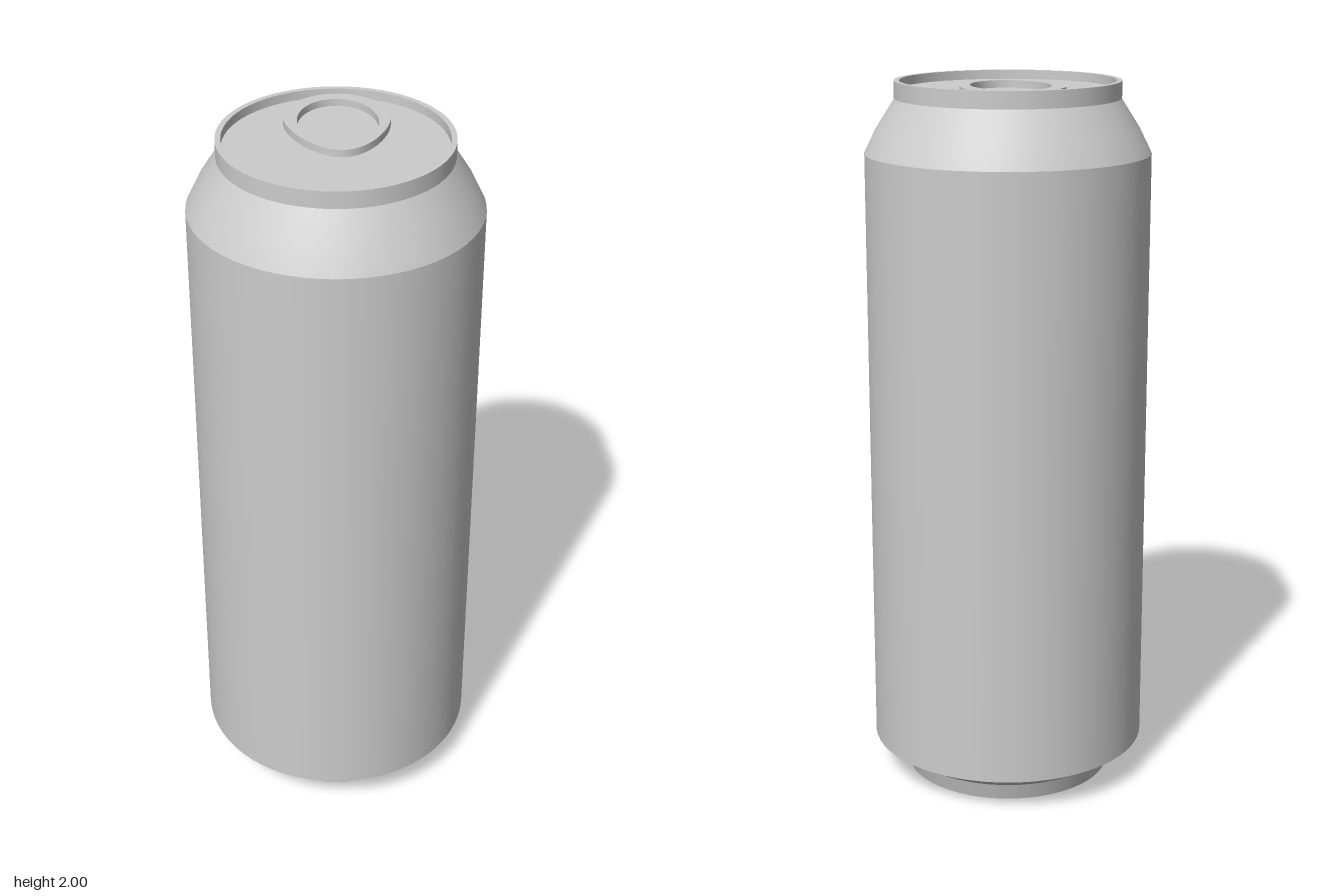
import * as THREE from 'three';
import { toCreasedNormals } from 'three/addons/utils/BufferGeometryUtils.js';

const SEGMENTS = 64;
const LID_Y = 1.975;

export function createModel() {
  const can = new THREE.Group();
  can.name = 'can';

  const aluminium = new THREE.MeshStandardMaterial({ color: 0xcccccc });
  aluminium.name = 'aluminium';

  // One turned band: smooth inside, with a sharp edge to its neighbours
  function band(name, profile) {
    const points = profile.map(([r, y]) => new THREE.Vector2(r, y));
    const mesh = new THREE.Mesh(new THREE.LatheGeometry(points, SEGMENTS), aluminium);
    mesh.name = name;
    can.add(mesh);
  }

  // Underside: recessed dome and slanted foot ring
  band('baseDisc', [[0, 0.1], [0.134, 0.1]]);
  band('baseDome', [[0.134, 0.1], [0.264, 0.045]]);
  band('footInside', [[0.264, 0.045], [0.295, 0]]);
  band('footOutside', [[0.295, 0], [0.31, 0.05]]);
  band('lowerTaper', [[0.31, 0.05], [0.393, 0.1]]);

  // Straight wall, shoulder and neck
  band('body', [[0.393, 0.1], [0.393, 1.805]]);
  band('shoulder', [[0.393, 1.805], [0.361, 1.87], [0.308, 1.953]]);
  band('neck', [[0.31, 1.953], [0.31, 2]]);

  // Rim and sunken lid
  band('rimTop', [[0.31, 2], [0.295, 2]]);
  band('rimInside', [[0.295, 2], [0.295, LID_Y]]);
  band('lid', [[0.295, LID_Y], [0, LID_Y]]);

  // Egg-shaped pull tab with an oval hole; shape y runs towards the back
  const cx = 0.015, wide = 0.141, back = 0.272, mid = 0.13, front = -0.072;
  const k = 0.5523;
  const egg = new THREE.Shape();
  egg.moveTo(cx, front);
  egg.bezierCurveTo(cx + 0.07, front, cx + wide, 0.05, cx + wide, mid);
  egg.bezierCurveTo(cx + wide, mid + k * (back - mid), cx + k * wide, back, cx, back);
  egg.bezierCurveTo(cx - k * wide, back, cx - wide, mid + k * (back - mid), cx - wide, mid);
  egg.bezierCurveTo(cx - wide, 0.05, cx - 0.07, front, cx, front);

  const hole = new THREE.Path();
  hole.absellipse(cx, 0.1, 0.107, 0.14, 0, Math.PI * 2, true);
  egg.holes.push(hole);

  const tabGeometry = new THREE.ExtrudeGeometry(egg, {
    depth: 0.02, bevelEnabled: false, curveSegments: 16,
  });
  tabGeometry.rotateX(-Math.PI / 2);
  const tab = new THREE.Mesh(toCreasedNormals(tabGeometry, Math.PI / 5), aluminium);
  tab.name = 'pullTab';
  tab.position.y = LID_Y;
  can.add(tab);

  return can;
}
